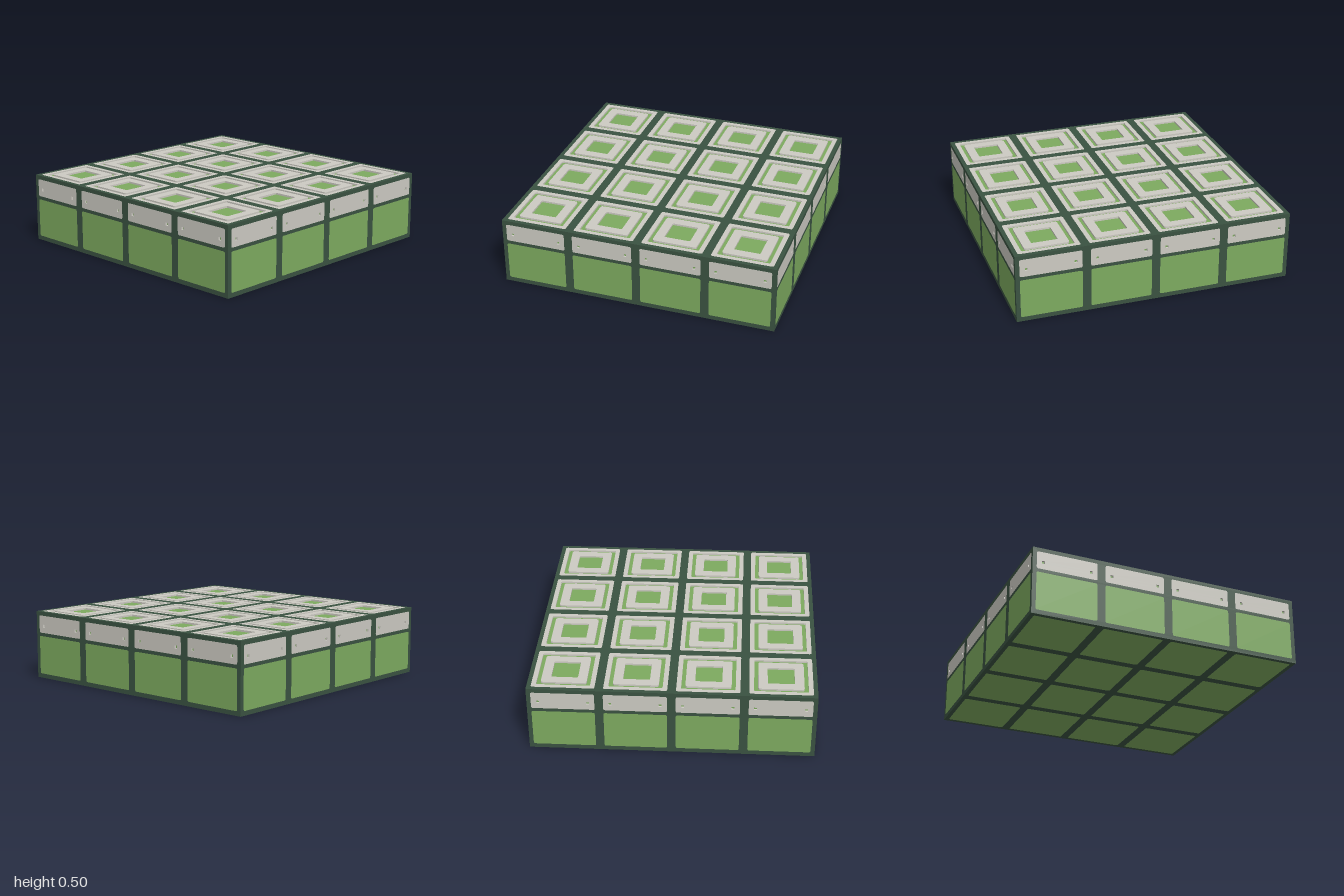
import * as THREE from 'three';

const D = 0.013; // panel thickness, also the depth of the grooves
const CENTRES = [-0.75, -0.25, 0.25, 0.75];

function material(name, color) {
  const m = new THREE.MeshStandardMaterial({ color });
  m.name = name;
  return m;
}

// Rounded rectangle traced into a Shape or Path
function rect(Type, cx, cy, w, h, r) {
  const p = new Type();
  const x0 = cx - w / 2, x1 = cx + w / 2, y0 = cy - h / 2, y1 = cy + h / 2;
  if (!r) {
    p.moveTo(x0, y0).lineTo(x1, y0).lineTo(x1, y1).lineTo(x0, y1).closePath();
    return p;
  }
  p.moveTo(x0 + r, y0).lineTo(x1 - r, y0).quadraticCurveTo(x1, y0, x1, y0 + r);
  p.lineTo(x1, y1 - r).quadraticCurveTo(x1, y1, x1 - r, y1);
  p.lineTo(x0 + r, y1).quadraticCurveTo(x0, y1, x0, y1 - r);
  p.lineTo(x0, y0 + r).quadraticCurveTo(x0, y0, x0 + r, y0);
  return p;
}

// Slab whose outer face lies at z = 0; each rectangle is [cx, cy, w, h, r]
function slab(name, mat, outline, holes = []) {
  const shape = rect(THREE.Shape, ...outline);
  shape.holes = holes.map((h) => rect(THREE.Path, ...h));
  const geo = new THREE.ExtrudeGeometry(shape, { depth: D, bevelEnabled: false, curveSegments: 3 });
  geo.translate(0, 0, -D);
  const mesh = new THREE.Mesh(geo, mat);
  mesh.name = name;
  return mesh;
}

export function createModel() {
  const green = material('leafGreen', 0x7daa5f);
  const pale = material('paleStone', 0xcccac2);
  const dark = material('darkGreen', 0x3a5241);
  const model = new THREE.Group();
  model.name = 'tiledBlock';

  // Core, visible at the bottom of the grooves
  const core = new THREE.Mesh(new THREE.BoxGeometry(2 - 2 * D, 0.5 - 2 * D, 2 - 2 * D), green);
  core.name = 'core';
  core.position.y = 0.25;
  model.add(core);

  // Top: frame and grooved tiles
  const top = new THREE.Group();
  top.name = 'top';
  const cells = CENTRES.flatMap((x) => CENTRES.map((y) => [x, y, 0.44, 0.44, 0.014]));
  top.add(slab('topFrame', dark, [0, 0, 2, 2, 0], cells));
  for (const cell of cells) {
    const [x, y] = cell;
    top.add(slab('tileRim', pale, cell, [[x, y, 0.374, 0.374, 0.01]]));
    top.add(slab('tileCentre', pale, [x, y, 0.318, 0.318, 0.018], [[x, y, 0.187, 0.187, 0.008]]));
  }
  top.rotation.x = -Math.PI / 2;
  top.position.y = 0.5;
  model.add(top);

  // Underside: frame and plain panels
  const bottom = new THREE.Group();
  bottom.name = 'underside';
  bottom.add(slab('bottomFrame', dark, [0, 0, 2, 2, 0], cells));
  for (const cell of cells) bottom.add(slab('bottomPanel', green, cell));
  bottom.rotation.x = Math.PI / 2;
  model.add(bottom);

  // Four equal sides: pale band with small holes above green panels
  for (let k = 0; k < 4; k++) {
    const side = new THREE.Group();
    side.name = 'side';
    const bands = CENTRES.map((x) => [x, 0.406, 0.44, 0.13, 0.012]);
    const panels = CENTRES.map((x) => [x, 0.174, 0.44, 0.284, 0.012]);
    side.add(slab('sideFrame', dark, [0, 0.25, 2, 0.5, 0], [...bands, ...panels]));
    for (const band of bands) {
      const pins = [-0.173, 0.173].map((dx) => [band[0] + dx, 0.394, 0.02, 0.02, 0]);
      side.add(slab('sideBand', pale, band, pins));
    }
    for (const panel of panels) side.add(slab('sidePanel', green, panel));
    const angle = (k * Math.PI) / 2;
    side.rotation.y = angle;
    side.position.set(Math.sin(angle), 0, Math.cos(angle));
    model.add(side);
  }
  return model;
}
